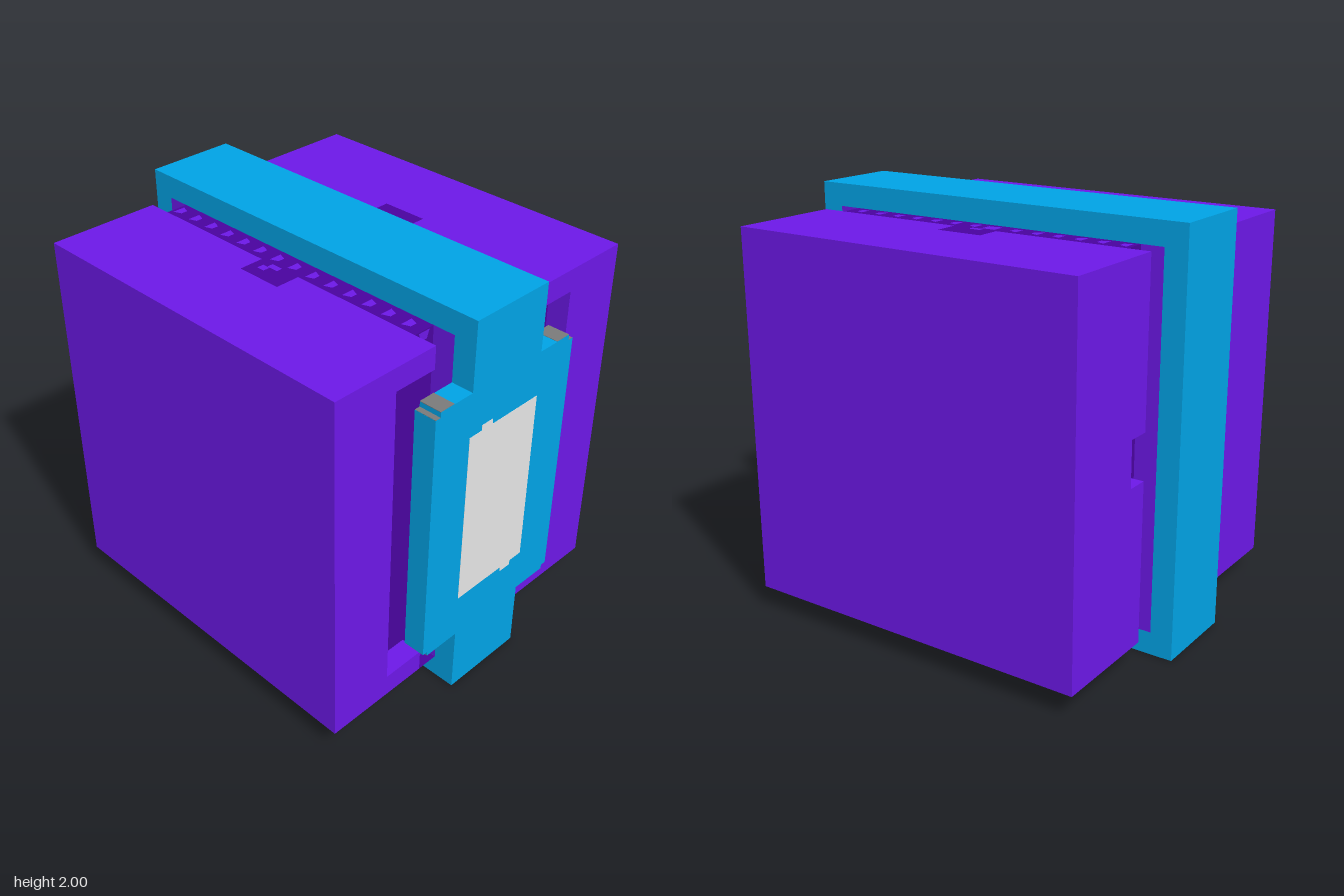
import * as THREE from 'three';

export function createModel() {
  const model = new THREE.Group();
  const material = (name, color) => {
    const m = new THREE.MeshStandardMaterial({ color });
    m.name = name;
    return m;
  };
  const purple = material('purple', 0x6c18e6);
  const dark = material('dark purple', 0x49039e);
  const deep = material('deep purple', 0x2c0560);
  const blue = material('blue', 0x00a2e4);
  const light = material('light grey', 0xe5e5e5);
  const grey = material('mid grey', 0x7a7a7a);

  const add = (name, geometry, mat) => {
    const mesh = new THREE.Mesh(geometry, mat);
    mesh.name = name;
    model.add(mesh);
    return mesh;
  };
  // Box given by its limits on each axis
  const box = (name, mat, x0, x1, y0, y1, z0, z1) => {
    const mesh = add(name, new THREE.BoxGeometry(x1 - x0, y1 - y0, z1 - z0), mat);
    mesh.position.set((x0 + x1) / 2, (y0 + y1) / 2, (z0 + z1) / 2);
    return mesh;
  };
  // Same box on both sides of x = 0
  const pair = (name, mat, x0, x1, ...rest) => {
    box(name, mat, x0, x1, ...rest);
    box(name, mat, -x1, -x0, ...rest);
  };

  // Central core and the darker filling beside it
  box('core', purple, -0.222, 0.222, 0.111, 1.889, -0.889, 0.889);
  pair('grooveFloor', dark, 0.222, 0.333, 0.111, 1.889, -0.778, 0.778);

  // Side blocks: solid middle, with C-shaped slabs forming the front recess and back notch
  const slab = (side, cutX, y0, y1) => {
    const shape = new THREE.Shape([
      [0.333, 0.111], [0.889, 0.111], [0.889, 1.889], [0.333, 1.889],
      [0.333, y1], [cutX, y1], [cutX, y0], [0.333, y0],
    ].map(([x, y]) => new THREE.Vector2(side * x, y)));
    return new THREE.ExtrudeGeometry(shape, { depth: 0.111, bevelEnabled: false });
  };
  pair('sideBlock', purple, 0.333, 0.889, 0.111, 1.889, -0.778, 0.778);
  for (const side of [-1, 1]) {
    add('frontRim', slab(side, 0.556, 0.222, 1.778), purple).position.z = 0.778;
    add('backRim', slab(side, 0.444, 0.889, 1.111), purple).position.z = -0.889;
  }
  pair('frontRecessFloor', dark, 0.333, 0.556, 0.222, 1.778, 0.778, 0.78);
  pair('backNotchFloor', dark, 0.333, 0.444, 0.889, 1.111, -0.78, -0.778);

  // Painted faces lying flat, facing up (1) or down (-1)
  const flat = (name, mat, x, z, w, d, y, facing) => {
    const mesh = add(name, new THREE.PlaneGeometry(w, d), mat);
    mesh.rotation.x = -facing * Math.PI / 2;
    mesh.position.set(x, y, z);
  };
  for (const side of [-1, 1]) {
    // Darker undersides
    flat('underside', dark, side * 0.611, 0, 0.556, 1.778, 0.1105, -1);
    flat('grooveUnderside', deep, side * 0.278, 0, 0.111, 1.556, 0.1105, -1);
    flat('bottomMark', deep, side * 0.395, -0.005, 0.125, 0.23, 0.1095, -1);
    flat('notchCeiling', dark, side * 0.3885, -0.8335, 0.111, 0.111, 1.1105, -1);
    // Marks on the top
    flat('topMark', dark, side * 0.395, -0.005, 0.125, 0.23, 1.8905, 1);
    flat('topMarkSpot', purple, side * 0.35, -0.02, 0.03, 0.06, 1.892, 1);
    // Inward-facing end of the front groove
    flat('grooveEnd', dark, side * 0.278, 0.833, 0.111, 0.111, 0.111, 1);
  }
  flat('topMarkSpot', purple, -0.385, -0.055, 0.035, 0.04, 1.892, 1);
  flat('grooveSpot', purple, 0.295, -0.065, 0.06, 0.07, 1.892, 1);

  // Rows of little painted teeth
  const toothShape = new THREE.Shape([
    [-0.032, 0.02], [-0.017, -0.02], [0.017, -0.02], [0.032, 0.02],
  ].map(([x, y]) => new THREE.Vector2(x, y)));
  const toothGeometry = new THREE.ShapeGeometry(toothShape);
  const tooth = (x, y, z, rotX = 0, rotY = 0) => {
    const mesh = add('tooth', toothGeometry, purple);
    mesh.position.set(x, y, z);
    mesh.rotation.set(rotX, rotY, 0);
  };
  for (const side of [-1, 1]) {
    for (let i = 0; i < 13; i++) tooth(side * 0.5, 0.325 + i * 0.111, 0.782);
    for (const y of [0.14, 0.215, 1.765, 1.865]) tooth(side * 0.28, y, 0.78);
    for (let i = 0; i < 14; i++) {
      tooth(side * 0.28, 1.8905, -0.74 + i * 0.111, -Math.PI / 2);
      tooth(side * 0.28, 0.28 + i * 0.111, -0.7795, 0, Math.PI);
    }
    tooth(side * 0.28, 0.1125, 0.815, -Math.PI / 2);
  }

  // Blue band wrapped round the middle
  box('bandTop', blue, -0.222, 0.222, 1.889, 2, -1, 1);
  box('bandBottom', blue, -0.222, 0.222, 0, 0.111, -1, 1);
  box('bandFront', blue, -0.222, 0.222, 0.111, 1.889, 0.889, 1);
  box('bandBack', blue, -0.222, 0.222, 0.111, 1.889, -1, -0.889);

  // Front plate with nicked corners and grey corner caps
  pair('frontPlate', blue, 0.222, 0.415, 0.338, 1.667, 0.889, 1);
  pair('frontPlateEdge', blue, 0.415, 0.444, 0.36, 1.64, 0.889, 1);
  pair('plateTopCap', grey, 0.333, 0.415, 1.666, 1.669, 0.889, 0.999);
  pair('plateBottomCap', grey, 0.333, 0.415, 0.336, 0.339, 0.889, 0.999);
  pair('plateTopCorner', grey, 0.415, 0.443, 1.639, 1.642, 0.889, 0.999);
  pair('plateBottomCorner', grey, 0.415, 0.443, 0.358, 0.361, 0.889, 0.999);

  // Pale panel with two small tabs
  box('panel', light, -0.222, 0.222, 0.557, 1.445, 0.999, 1.001);
  box('panelTopTab', light, -0.145, -0.075, 1.445, 1.472, 0.999, 1.001);
  box('panelBottomTab', light, 0.075, 0.145, 0.533, 0.557, 0.999, 1.001);

  return model;
}
